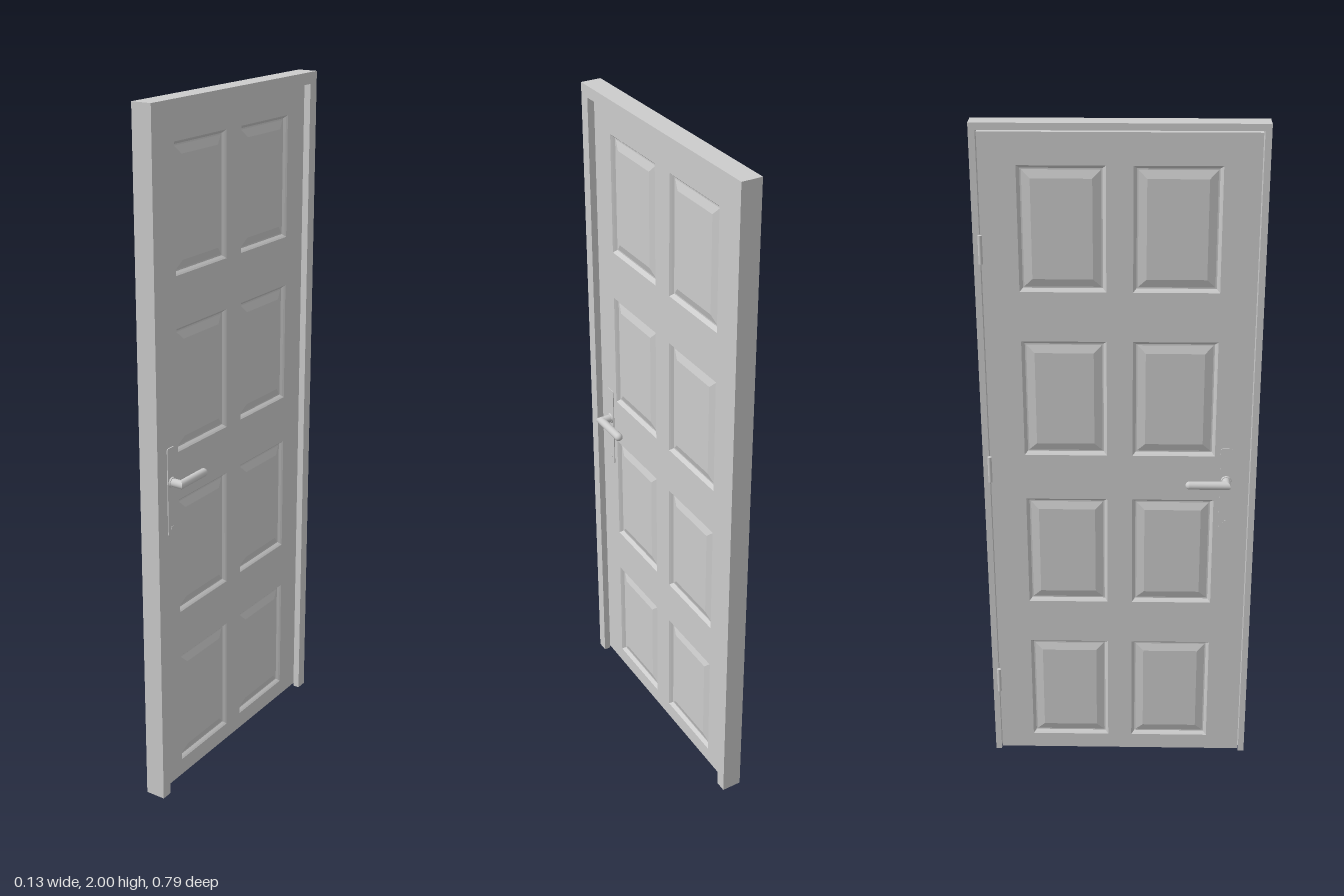
import * as THREE from 'three';

const grey = new THREE.MeshStandardMaterial({ color: 0xcccccc });
const flat = new THREE.MeshStandardMaterial({ color: 0xcccccc, flatShading: true });

const PANEL_W = 0.237, PANEL_H = 0.35;
const PANEL_Y = [0.236, 0.728, 1.22, 1.714];
const PANEL_Z = [-0.155, 0.155];
const LEAF_X = 0.02;                       // half thickness of the leaf
const HANDLE_Y = 0.968, HANDLE_Z = 0.308;

function add(parent, name, geometry, material = grey) {
  const mesh = new THREE.Mesh(geometry, material);
  mesh.name = name;
  parent.add(mesh);
  return mesh;
}

const polygon = pts => pts.map(([x, y]) => new THREE.Vector2(x, y));

// Extrudes a (z, y) outline through the wall thickness, from x0 to x1
function slab(shape, x0, x1) {
  return new THREE.ExtrudeGeometry(shape, { depth: x1 - x0, bevelEnabled: false, curveSegments: 8 })
    .rotateY(-Math.PI / 2).translate(x1, 0, 0);
}

// Upside-down U outline of the frame, with a given clear opening
function frameShape(halfOpening, top) {
  return new THREE.Shape(polygon([
    [-0.395, 0], [-halfOpening, 0], [-halfOpening, top], [halfOpening, top],
    [halfOpening, 0], [0.395, 0], [0.395, 2], [-0.395, 2]]));
}

// Raised and fielded panel: nested rectangles given as [inset, depth]
function panelGeometry() {
  const rings = [[0, 0], [0.004, -0.004], [0.009, -0.01], [0.013, -0.01], [0.036, -0.003]];
  const pos = [], index = [];
  for (const [inset, depth] of rings) {
    const w = PANEL_W / 2 - inset, h = PANEL_H / 2 - inset;
    pos.push(-w, -h, depth, w, -h, depth, w, h, depth, -w, h, depth);
  }
  for (let r = 0; r < rings.length - 1; r++) {
    for (let i = 0; i < 4; i++) {
      const a = r * 4 + i, b = r * 4 + (i + 1) % 4;
      index.push(a, b, b + 4, a, b + 4, a + 4);
    }
  }
  const f = (rings.length - 1) * 4;
  index.push(f, f + 1, f + 2, f, f + 2, f + 3);
  const g = new THREE.BufferGeometry();
  g.setAttribute('position', new THREE.Float32BufferAttribute(pos, 3));
  g.setIndex(index);
  const out = g.toNonIndexed();
  out.computeVertexNormals();
  return out;
}

// Lever handle with a mitred elbow: neck runs along +x, grip along -z
function leverHandle() {
  const handle = new THREE.Group();
  const r = 0.012, length = 0.118;

  const profile = [new THREE.Vector2(r, 0)];
  for (let i = 0; i <= 6; i++) {
    const a = i / 6 * Math.PI / 2;
    profile.push(new THREE.Vector2(r * Math.cos(a), length - r + r * Math.sin(a)));
  }
  const grip = new THREE.LatheGeometry(profile, 24);
  const gp = grip.attributes.position;
  for (let i = 0; i < gp.count; i++) if (gp.getY(i) === 0) gp.setY(i, gp.getX(i));
  add(handle, 'leverGrip', grip.rotateX(-Math.PI / 2));

  const neckLength = 0.054 - LEAF_X;
  const neck = new THREE.CylinderGeometry(r, r, neckLength, 24, 1, true)
    .rotateZ(-Math.PI / 2).translate(neckLength / 2, 0, 0);
  const np = neck.attributes.position;
  for (let i = 0; i < np.count; i++) if (np.getX(i) < 0.001) np.setX(i, np.getY(i));
  add(handle, 'leverNeck', neck.rotateX(-Math.PI / 2));

  const collar = new THREE.CylinderGeometry(0.014, 0.016, 0.006, 24).rotateZ(Math.PI / 2);
  add(handle, 'leverCollar', collar).position.x = neckLength - 0.004;
  return handle;
}

// Long narrow plate with rounded corners behind the lever
function backPlateShape() {
  const w = 0.018, y0 = 0.81, y1 = 1.07, r = 0.006;
  const s = new THREE.Shape();
  s.absarc(HANDLE_Z + w - r, y0 + r, r, -Math.PI / 2, 0);
  s.absarc(HANDLE_Z + w - r, y1 - r, r, 0, Math.PI / 2);
  s.absarc(HANDLE_Z - w + r, y1 - r, r, Math.PI / 2, Math.PI);
  s.absarc(HANDLE_Z - w + r, y0 + r, r, Math.PI, Math.PI * 1.5);
  return s;
}

export function createModel() {
  const door = new THREE.Group();
  door.name = 'door';

  // Frame: rebated part around the leaf and the stop it closes against
  const frame = new THREE.Group();
  frame.name = 'frame';
  door.add(frame);
  add(frame, 'frameRebate', slab(frameShape(0.377, 1.981), -0.02, 0.02), flat);
  add(frame, 'frameStop', slab(frameShape(0.361, 1.967), 0.02, 0.04), flat);

  // Leaf: stiles and rails in one slab, with openings for the panels
  const leaf = new THREE.Group();
  leaf.name = 'leaf';
  door.add(leaf);
  const leafShape = new THREE.Shape(polygon([[-0.374, 0.01], [0.374, 0.01], [0.374, 1.977], [-0.374, 1.977]]));
  const w = PANEL_W / 2, h = PANEL_H / 2;
  const panel = panelGeometry();
  for (const z of PANEL_Z) {
    for (const y of PANEL_Y) {
      leafShape.holes.push(new THREE.Path(polygon([
        [z - w, y - h], [z - w, y + h], [z + w, y + h], [z + w, y - h]])));
      for (const side of [-1, 1]) {
        const mesh = add(leaf, 'raisedPanel', panel, flat);
        mesh.position.set(side * LEAF_X, y, z);
        mesh.rotation.y = side * Math.PI / 2;
      }
    }
  }
  add(leaf, 'stilesAndRails', slab(leafShape, -LEAF_X, LEAF_X), flat);

  // Lever, back plate and keyhole on both faces
  for (const side of [-1, 1]) {
    const lever = leverHandle();
    lever.name = 'leverHandle';
    lever.position.set(side * 0.054, HANDLE_Y, HANDLE_Z);
    if (side > 0) lever.rotation.z = Math.PI;
    door.add(lever);

    const outer = side * (LEAF_X + 0.0025);
    const inner = side * (LEAF_X - 0.002);
    add(door, 'backPlate', slab(backPlateShape(), Math.min(outer, inner), Math.max(outer, inner)));

    const keyhole = new THREE.CylinderGeometry(0.007, 0.007, 0.003, 20).rotateZ(Math.PI / 2);
    add(door, 'keyhole', keyhole).position.set(side * (LEAF_X + 0.002), 0.83, HANDLE_Z);
  }

  // Three hinge knuckles
  for (const y of [0.267, 1.0, 1.66]) {
    const knuckle = new THREE.CylinderGeometry(0.006, 0.006, 0.08, 16);
    add(door, 'hingeKnuckle', knuckle).position.set(-0.026, y, -0.375);
  }
  return door;
}
